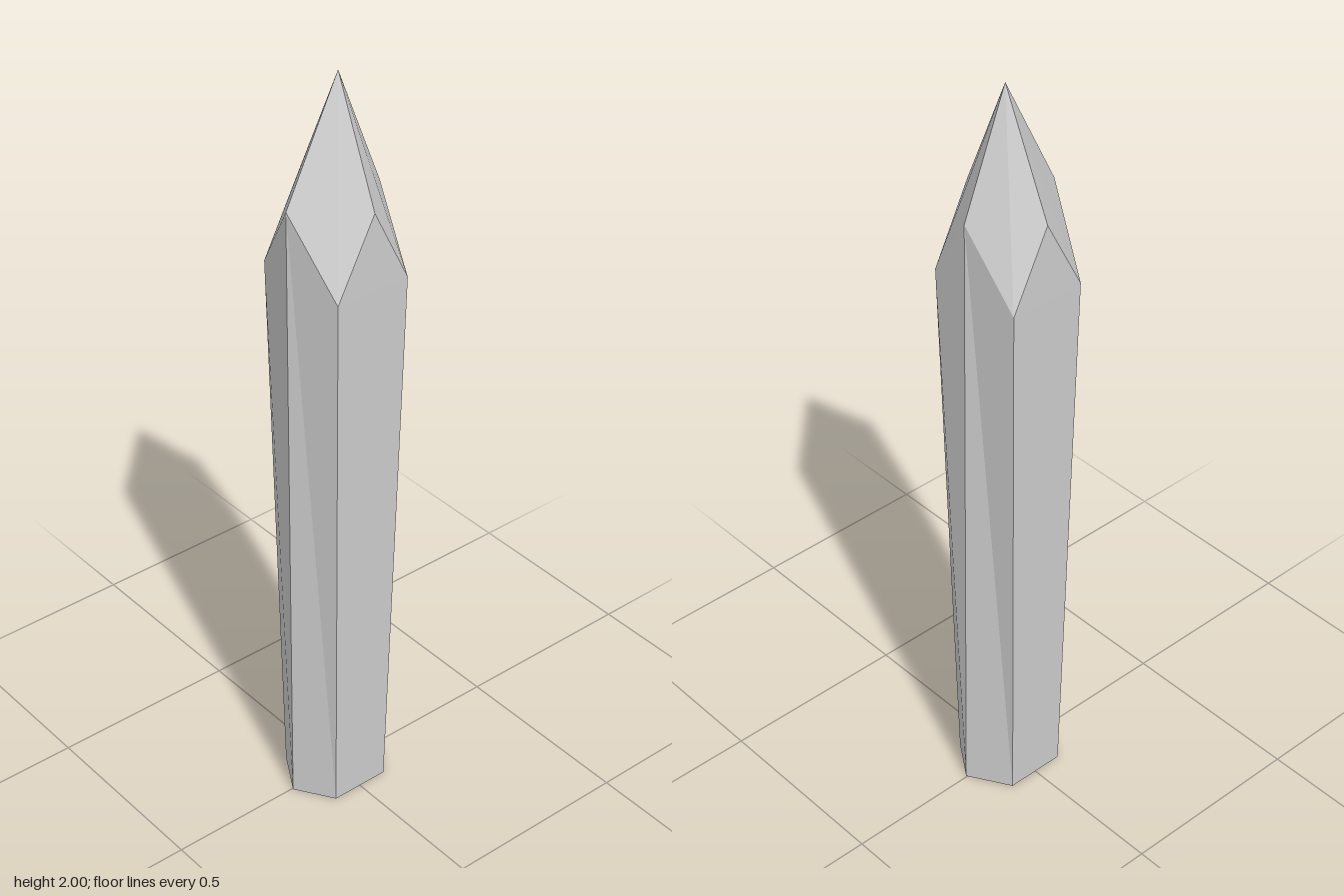
import * as THREE from 'three';

// Rings run clockwise as seen from above, starting at the back right corner
const base = [
  [-0.105, 0, -0.08], [0.003, 0, -0.145], [0.101, 0, -0.08],
  [0.101, 0, 0.08], [0.003, 0, 0.143], [-0.105, 0, 0.08],
];
const shoulder = [
  [-0.134, 1.5, -0.105], [0.003, 1.69, -0.128], [0.132, 1.5, -0.105],
  [0.132, 1.5, 0.1], [0.003, 1.7, 0.143], [-0.134, 1.5, 0.1],
];
const gableLeft = [0.132, 1.7, -0.005];
const gableRight = [-0.134, 1.7, -0.005];
const tip = [0.003, 2, -0.006];

function facets(name, triangles) {
  const geometry = new THREE.BufferGeometry();
  geometry.setAttribute('position', new THREE.Float32BufferAttribute(triangles.flat(2), 3));
  geometry.computeVertexNormals();
  const mesh = new THREE.Mesh(geometry, new THREE.MeshStandardMaterial({
    color: 0xcccccc, flatShading: true, side: THREE.DoubleSide,
  }));
  mesh.name = name;
  return mesh;
}

export function createModel() {
  const group = new THREE.Group();
  group.name = 'crystalShard';

  // Tapered six-sided shaft, open underneath
  const shaft = [];
  for (let i = 0; i < 6; i++) {
    const j = (i + 1) % 6;
    shaft.push([base[i], shoulder[i], shoulder[j]], [base[i], shoulder[j], base[j]]);
  }
  // Pointed tops of the two side faces
  shaft.push([shoulder[2], gableLeft, shoulder[3]], [shoulder[5], gableRight, shoulder[0]]);
  group.add(facets('shaft', shaft));

  // Four kite-shaped facets meeting at the tip
  const ring = [...shoulder.slice(0, 3), gableLeft, ...shoulder.slice(3), gableRight];
  const point = ring.map((p, i) => [p, tip, ring[(i + 1) % ring.length]]);
  group.add(facets('point', point));

  return group;
}
